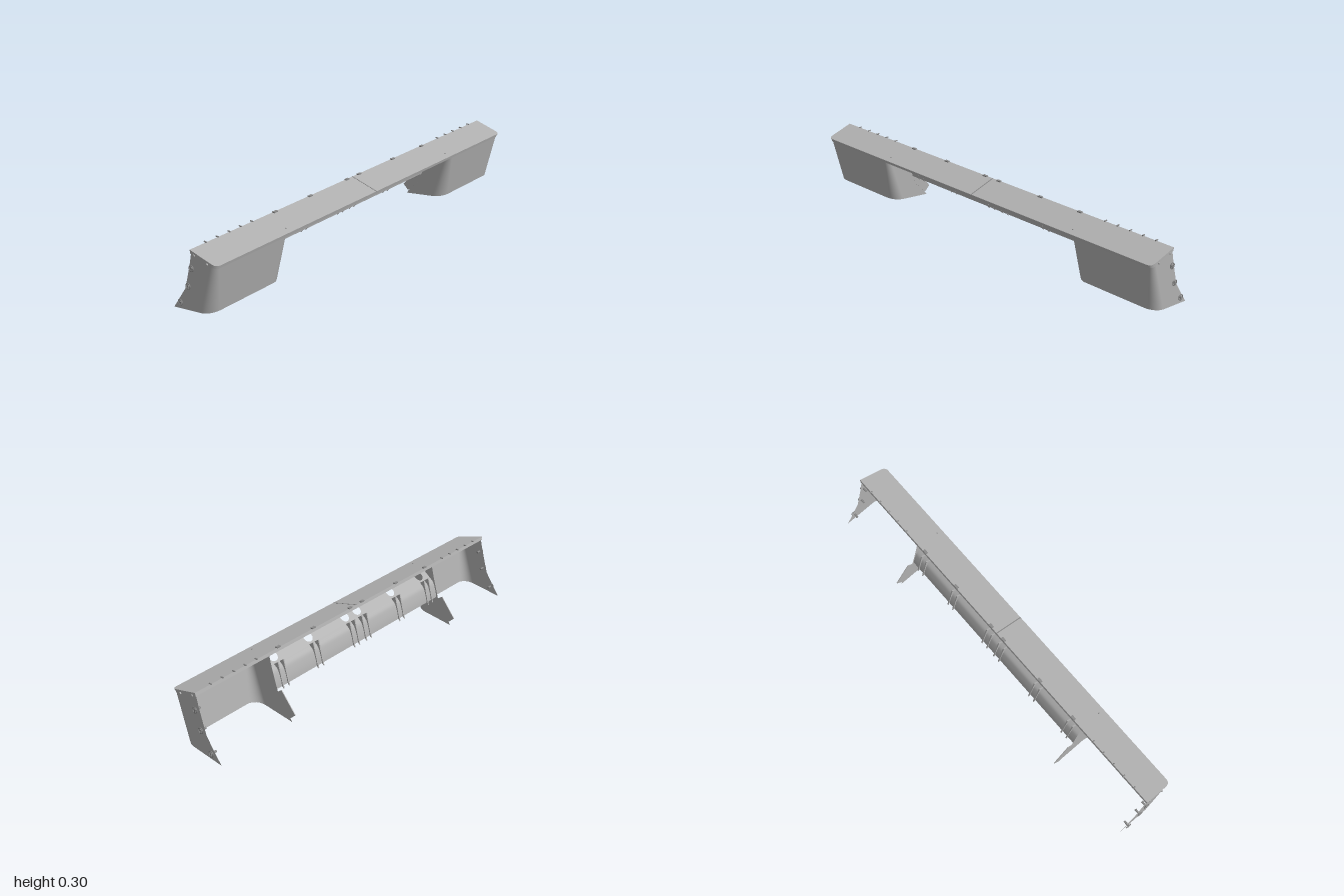
import * as THREE from 'three';

const metal = new THREE.MeshStandardMaterial({ color: 0xb0b0b0, side: THREE.DoubleSide });
metal.name = 'grey metal';
const dark = new THREE.MeshStandardMaterial({ color: 0x8a8a8a, side: THREE.DoubleSide });
dark.name = 'dark fastener grey';

const LAMPS = [-0.51, -0.288, -0.042, 0.042, 0.288, 0.51];
const lerp = THREE.MathUtils.lerp;

function add(parent, name, geometry, material = metal) {
  const mesh = new THREE.Mesh(geometry, material);
  mesh.name = name;
  parent.add(mesh);
  return mesh;
}

// Smooth surface over a grid of points: point(row, column) -> [x, y, z]
function surface(rows, cols, point) {
  const pos = [], index = [];
  for (let r = 0; r < rows; r++) for (let c = 0; c < cols; c++) pos.push(...point(r, c));
  for (let r = 0; r < rows - 1; r++) for (let c = 0; c < cols - 1; c++) {
    const a = r * cols + c, b = a + cols;
    index.push(a, b, a + 1, a + 1, b, b + 1);
  }
  const g = new THREE.BufferGeometry();
  g.setAttribute('position', new THREE.Float32BufferAttribute(pos, 3));
  g.setIndex(index);
  g.computeVertexNormals();
  return g;
}

// Flat plate from a [z, y] outline, centred on x
function sidePlate(points, x, thickness) {
  const shape = new THREE.Shape(points.map(([z, y]) => new THREE.Vector2(-z, y)));
  const g = new THREE.ExtrudeGeometry(shape, { depth: thickness, bevelEnabled: false });
  return g.rotateY(Math.PI / 2).translate(x - thickness / 2, 0, 0);
}

// Plan outline of the top, with rounded front corners
function topOutline(inset, PathType) {
  const w = 0.99 - inset, f = inset, b = 0.144 - inset, r = 0.028;
  const p = new PathType();
  p.moveTo(-w, b);
  p.lineTo(-w + 0.004, f + r);
  p.quadraticCurveTo(-w + 0.005, f, -w + r, f);
  p.lineTo(w - r, f);
  p.quadraticCurveTo(w - 0.005, f, w - 0.004, f + r);
  p.lineTo(w, b);
  p.closePath();
  return p;
}

// Back edge of the pod sides: [t, z, y]
const BACK = [[0, 0.003, 0.291], [0.2, -0.01, 0.235], [0.4, -0.028, 0.17],
  [0.58, -0.045, 0.112], [0.8, -0.083, 0.056], [1, -0.12, 0.003]];

// Open shell wrapping the inner side, front and outer side
function podShell() {
  const xi = 0.568, xo = 0.984, steps = 8, cols = 2 * (steps + 1) + 2;
  return surface(BACK.length, cols, (row, c) => {
    const [t, zb, yb] = BACK[row];
    const zf = lerp(0.132, 0.09, t), yf = lerp(0.256, 0.035, t);
    const r = lerp(0.022, 0.055, t);
    let x, z;
    if (c === 0) { x = xi; z = zb; }
    else if (c === cols - 1) { x = xo; z = zb; }
    else {
      const outer = c > steps + 1;
      const k = outer ? cols - 2 - c : c - 1;
      const a = k / steps * Math.PI / 2, dx = r * (1 - Math.cos(a));
      x = outer ? xo - dx : xi + dx;
      z = zf - r * (1 - Math.sin(a));
    }
    return [x, lerp(yb, yf, (z - zb) / (zf - zb)), z];
  });
}

// Ring latch with a stem and a bolt through the outer side
function latch(y, z) {
  const g = new THREE.Group();
  g.name = 'ringLatch';
  add(g, 'latchRing', new THREE.TorusGeometry(0.0125, 0.002, 6, 20).rotateY(Math.PI / 2).translate(0.006, 0, 0), dark);
  add(g, 'latchStem', new THREE.BoxGeometry(0.004, 0.02, 0.005).translate(0.006, -0.005, 0), dark);
  add(g, 'latchBolt', new THREE.CylinderGeometry(0.005, 0.005, 0.03, 10).rotateZ(Math.PI / 2).translate(-0.008, 0, 0), dark);
  g.position.set(0.986, y, z);
  return g;
}

function pod(side) {
  const g = new THREE.Group();
  g.name = side > 0 ? 'leftPod' : 'rightPod';
  add(g, 'podShell', podShell());
  add(g, 'innerMountingTab', sidePlate(
    [[-0.03, 0.115], [-0.065, 0.14], [-0.14, 0.045], [-0.112, 0.02], [-0.06, 0.07]], 0.569, 0.004));
  for (const [y, z] of [[0.217, 0.005], [0.131, -0.02], [0.042, -0.072]]) g.add(latch(y, z));
  // end screws on the rim
  for (const [y, z] of [[0.259, 0.09], [0.276, 0.02]])
    add(g, 'rimScrew', new THREE.CylinderGeometry(0.005, 0.005, 0.006, 10).rotateZ(Math.PI / 2).translate(0.988, y, z));
  // pins along the rear edge
  for (let i = 0; i < 5; i++)
    add(g, 'rearPin', new THREE.CylinderGeometry(0.003, 0.003, 0.014, 8).rotateX(Math.PI / 2)
      .translate(0.645 + i * 0.065, 0.3, 0), dark);
  g.scale.x = side;
  return g;
}

export function createModel() {
  const model = new THREE.Group();
  model.name = 'overheadConsole';

  // Sloping top with a thin rim below it
  const top = new THREE.Group();
  top.name = 'top';
  top.position.set(0, 0.257, 0.138);
  top.rotation.x = -(Math.PI / 2 - 0.245);
  model.add(top);
  add(top, 'topPlate', new THREE.ExtrudeGeometry(topOutline(0, THREE.Shape), { depth: 0.005, bevelEnabled: false }));
  const rim = topOutline(0.002, THREE.Shape);
  rim.holes.push(topOutline(0.005, THREE.Path));
  add(top, 'topRim', new THREE.ExtrudeGeometry(rim, { depth: 0.011, bevelEnabled: false }).translate(0, 0, -0.011));
  add(top, 'centreSeam', new THREE.BoxGeometry(0.005, 0.144, 0.001).translate(0, 0.072, 0.0053), dark);
  for (const x of [-0.56, 0.56])
    add(top, 'topScrew', new THREE.CylinderGeometry(0.003, 0.003, 0.002, 8).rotateX(Math.PI / 2).translate(x, 0.03, 0.0055), dark);

  // Sloping light panel with round openings
  const panel = new THREE.Shape([[-0.568, 0], [0.568, 0], [0.568, 0.089], [-0.568, 0.089]]
    .map(([x, y]) => new THREE.Vector2(x, y)));
  for (const x of LAMPS) panel.holes.push(new THREE.Path().absarc(x, 0.041, 0.024, 0, Math.PI * 2, true));
  const lampPanel = add(model, 'lampPanel', new THREE.ShapeGeometry(panel, 12));
  lampPanel.position.set(0, 0.215, 0.005);
  lampPanel.rotation.x = Math.atan2(0.07, 0.055);

  // Curved lower panel
  const curve = new THREE.SplineCurve([[0.005, 0.215], [-0.01, 0.2], [-0.02, 0.175], [-0.027, 0.15], [-0.031, 0.128]]
    .map(([z, y]) => new THREE.Vector2(z, y))).getPoints(12);
  add(model, 'curvedPanel', surface(curve.length, 2, (r, c) => [c ? 0.568 : -0.568, curve[r].y, curve[r].x]));

  // Paired brackets behind every light opening
  for (const x of LAMPS) {
    for (const dx of [-0.017, 0.017])
      add(model, 'bracketFin', sidePlate([[0.012, 0.22], [-0.01, 0.237], [-0.04, 0.118],
        [-0.031, 0.128], [-0.02, 0.175], [-0.01, 0.2]], x + dx, 0.006));
    add(model, 'rearClip', new THREE.BoxGeometry(0.022, 0.005, 0.012).translate(x, 0.298, 0.004), dark);
  }

  model.add(pod(1), pod(-1));
  return model;
}
